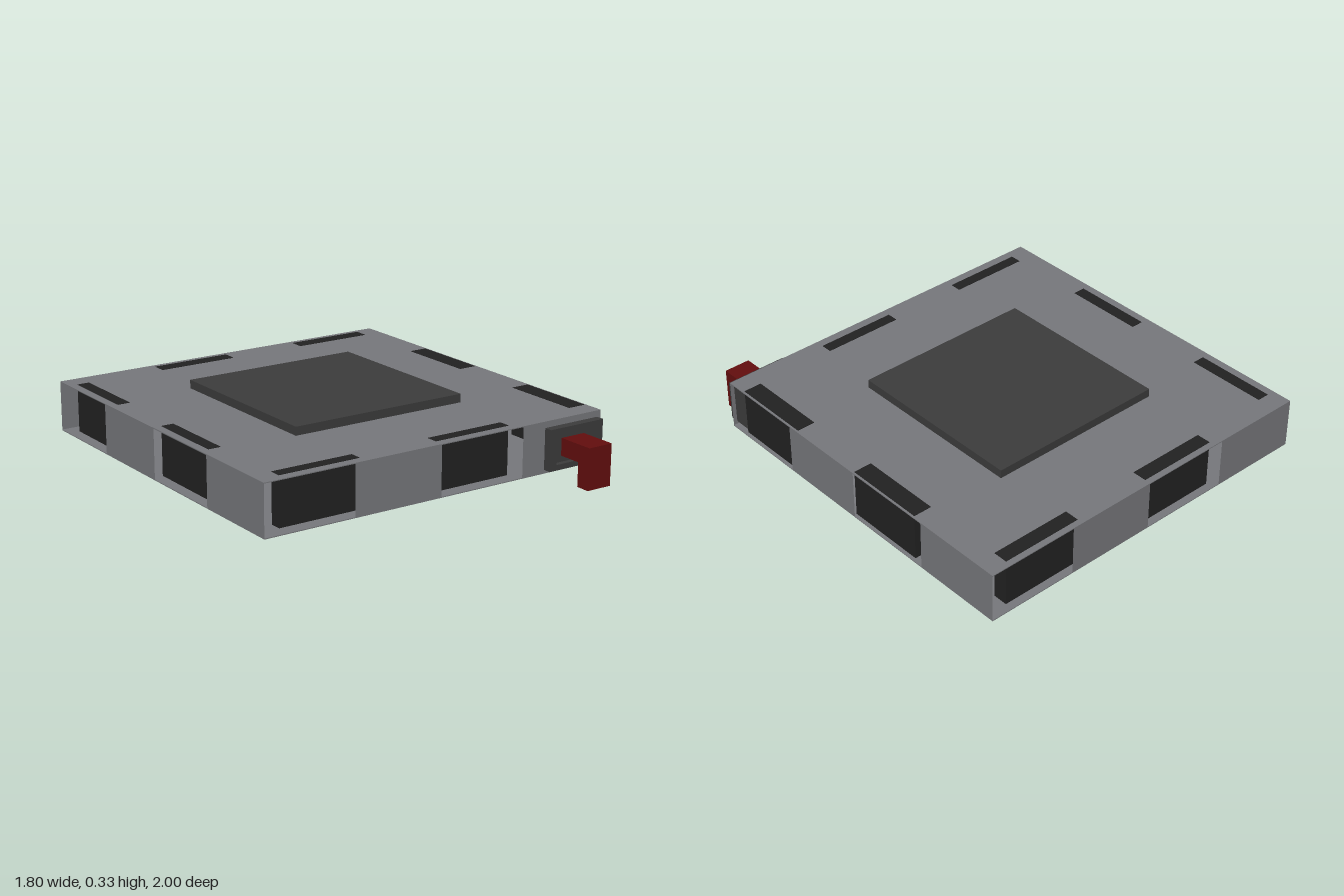
import * as THREE from 'three';

const mat = (name, color, side = THREE.FrontSide) => {
  const m = new THREE.MeshStandardMaterial({ color, side });
  m.name = name;
  return m;
};

export function createModel() {
  const model = new THREE.Group();
  model.name = 'tile';
  const grey = mat('shell grey', 0x77787c, THREE.DoubleSide);
  const charcoal = mat('charcoal', 0x3c3c3c);
  const black = mat('contact black', 0x222222);
  const red = mat('hook red', 0x640e0e);

  // Box given by its lower and upper limits on each axis
  const box = (name, material, [x0, x1], [y0, y1], [z0, z1], parent = model) => {
    const mesh = new THREE.Mesh(new THREE.BoxGeometry(x1 - x0, y1 - y0, z1 - z0), material);
    mesh.position.set((x0 + x1) / 2, (y0 + y1) / 2, (z0 + z1) / 2);
    mesh.name = name;
    parent.add(mesh);
    return mesh;
  };

  // Hollow shell: floor, lid and a pinwheel of walls with open bays between them
  box('floor', grey, [-0.9, 0.9], [0.042, 0.046], [-1, 0.8]);
  box('lid', grey, [-0.9, 0.9], [0.281, 0.285], [-1, 0.8]);
  for (let side = 0; side < 4; side++) {
    const walls = new THREE.Group();
    walls.name = 'sideWalls' + side;
    walls.position.z = -0.1;
    walls.rotation.y = side * Math.PI / 2;
    for (const x of [-0.225, 0.675]) {
      const wall = new THREE.Mesh(new THREE.PlaneGeometry(0.45, 0.24), grey);
      wall.position.set(x, 0.164, 0.9);
      wall.name = 'wall';
      walls.add(wall);
    }
    model.add(walls);
  }

  // Raised square on the lid
  box('topPlate', charcoal, [-0.45, 0.45], [0.285, 0.326], [-0.55, 0.35]);

  // Dark blocks standing in the bays, just breaking through the lid
  const h = [0.056, 0.287];
  for (const x of [-0.8, 0]) box('frontBlock', black, [x, x + 0.4], h, [0.7, 0.755]);
  for (const x of [-0.4, 0.4]) box('backBlock', black, [x, x + 0.4], h, [-0.97, -0.9]);
  for (const z of [-0.5, 0.3]) box('leftBlock', black, [0.8, 0.89], h, [z, z + 0.4]);
  for (const z of [-0.9, -0.1]) box('rightBlock', black, [-0.86, -0.8], h, [z, z + 0.4]);

  // Socket with a recessed face
  const frame = new THREE.Shape([
    [0.575, 0.06], [0.88, 0.06], [0.88, 0.255], [0.575, 0.255],
  ].map(p => new THREE.Vector2(...p)));
  frame.holes.push(new THREE.Path([
    [0.613, 0.086], [0.613, 0.23], [0.842, 0.23], [0.842, 0.086],
  ].map(p => new THREE.Vector2(...p))));
  const socket = new THREE.Mesh(
    new THREE.ExtrudeGeometry(frame, { depth: 0.138, bevelEnabled: false }), charcoal);
  socket.position.z = 0.702;
  socket.name = 'socketFrame';
  model.add(socket);
  box('socketBase', charcoal, [0.61, 0.845], [0.083, 0.233], [0.705, 0.815]);

  // Hook: an arm with a downturned tip, extruded sideways from its profile
  const profile = new THREE.Shape([
    [0.8, 0.115], [0.93, 0.115], [0.93, 0], [1, 0], [1, 0.198], [0.8, 0.198],
  ].map(p => new THREE.Vector2(...p)));
  const hook = new THREE.Mesh(
    new THREE.ExtrudeGeometry(profile, { depth: 0.13, bevelEnabled: false }), red);
  hook.rotation.y = -Math.PI / 2;
  hook.position.x = 0.79;
  hook.name = 'hook';
  model.add(hook);

  return model;
}
